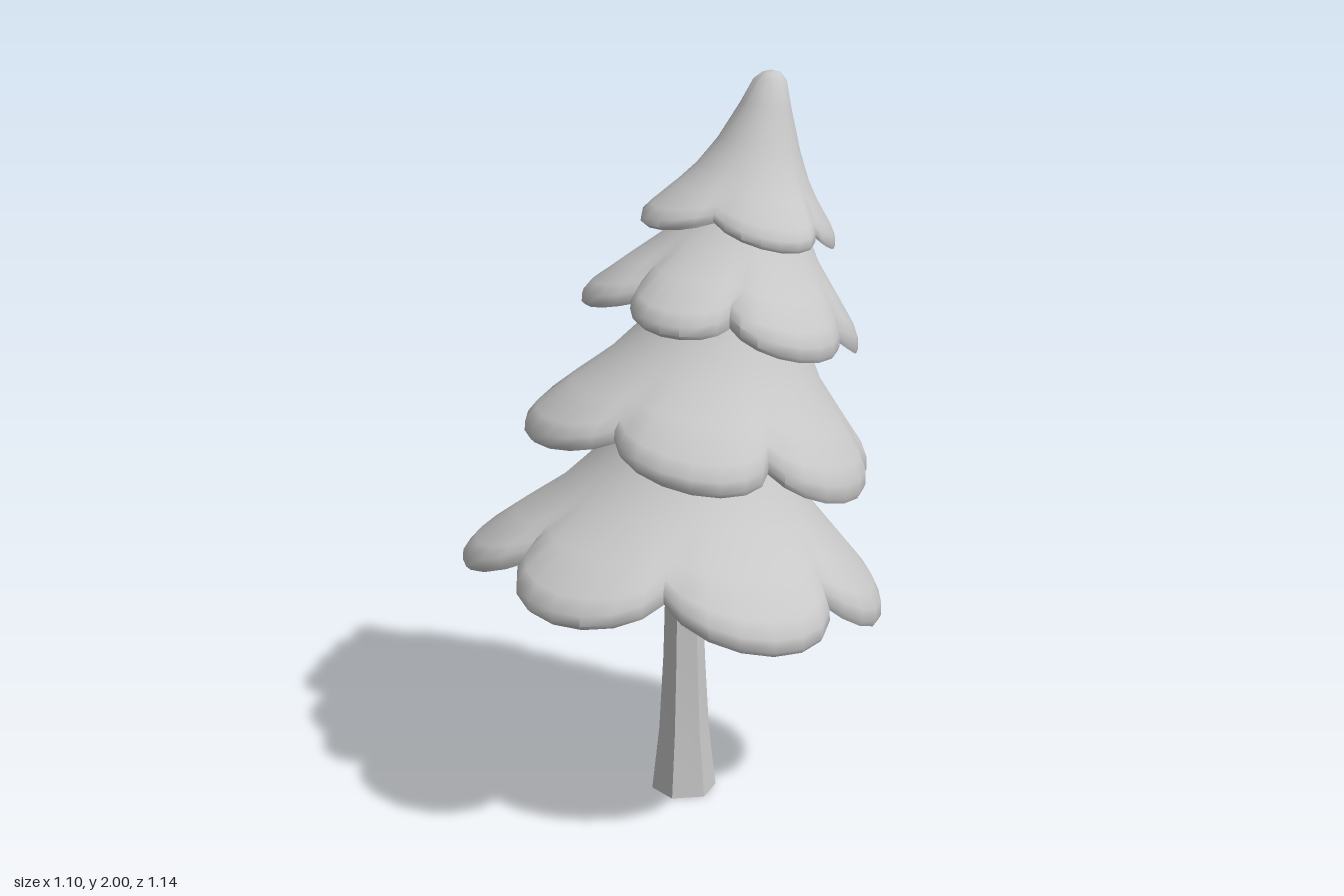
import * as THREE from 'three';
import { toCreasedNormals } from 'three/addons/utils/BufferGeometryUtils.js';

const grey = new THREE.MeshStandardMaterial({ color: 0xc8c8c8 });
grey.name = 'plainGrey';

const LOBE_STEPS = 8;

// Section of a tier from inside the underside, round the blunt rim, to the crown:
// [travel from rim to crown, rise from rim to crown, crown radius factor]
const underside = [[1, 0.27, 0.02], [0.75, 0.24, 1], [0.35, 0.11, 1], [0.1, 0.02, 1], [0.025, 0, 1]];
const skirt = [
  ...underside,
  [0, 0.025, 1], [0.005, 0.085, 1], [0.07, 0.16, 1], [0.28, 0.3, 1], [0.53, 0.46, 1],
  [0.75, 0.66, 1], [0.9, 0.85, 1], [1, 1, 1], [1, 1, 0.02],
];
const peak = [
  ...underside,
  [0, 0.02, 1], [0.01, 0.07, 1], [0.09, 0.13, 1], [0.3, 0.25, 1], [0.48, 0.37, 1],
  [0.66, 0.54, 1], [0.85, 0.78, 1], [0.96, 0.94, 1], [1, 0.985, 0.7], [1, 1, 0.02],
];

// Lobes fan around the rim centre at the given angles (left, front, right, back);
// the rim leans down towards +x by the slope, and notches sit inward and higher
const bottom = {
  name: 'bottomTier', section: skirt, crown: [0.09, 1.15], radius: 0.17,
  centre: [0, 0.615, 0], slope: -0.15, tipReach: 0.568, notchReach: 0.465, notchLift: 0.085,
  angles: [200, 147, 87, 31, -30, -91],
};
const lowerMiddle = {
  name: 'lowerMiddleTier', section: skirt, crown: [0.18, 1.5], radius: 0.13,
  centre: [0.07, 0.975, -0.01], slope: -0.2, tipReach: 0.47, notchReach: 0.4, notchLift: 0.065,
  angles: [180, 116, 58, -1, -67, -120],
};
const upperMiddle = {
  name: 'upperMiddleTier', section: skirt, crown: [0.24, 1.78], radius: 0.08,
  centre: [0.135, 1.325, 0.01], slope: -0.22, tipReach: 0.37, notchReach: 0.305, notchLift: 0.05,
  angles: [196, 140, 82, 13, -46, -103],
};
const top = {
  name: 'topTier', section: peak, crown: [0.28, 2], radius: 0.035,
  centre: [0.18, 1.575, 0], slope: -0.16, tipReach: 0.263, notchReach: 0.215, notchLift: 0.045,
  angles: [176, 89, 25, -28, -110],
};

// Scalloped rim: one half ellipse through each lobe's notches and tip
function rimPoints(place, { tipReach, notchReach, notchLift, angles }) {
  const notches = angles.map((angle, i) => {
    const before = i ? angles[i - 1] : angles.at(-1) + 360;
    const between = THREE.MathUtils.degToRad((angle + before) / 2);
    return place(between, notchReach + 0.03 * Math.cos(between), notchLift);
  });
  return angles.flatMap((angle, i) => {
    const start = notches[i];
    const middle = start.clone().lerp(notches[(i + 1) % notches.length], 0.5);
    const along = start.clone().sub(middle);
    const out = place(THREE.MathUtils.degToRad(angle), tipReach, 0).sub(middle);
    return Array.from({ length: LOBE_STEPS }, (_, k) => {
      const t = (k / LOBE_STEPS) * Math.PI;
      return middle.clone()
        .addScaledVector(along, Math.cos(t))
        .addScaledVector(out, Math.sin(t));
    });
  });
}

// Closed skin through rings of equal point count
function skinRings(rings) {
  const n = rings[0].length;
  const index = [];
  for (let i = 0; i < rings.length - 1; i++) {
    for (let j = 0; j < n; j++) {
      const k = (j + 1) % n;
      const a = i * n + j, b = i * n + k, c = a + n, d = b + n;
      index.push(a, b, d, a, d, c);
    }
  }
  const geometry = new THREE.BufferGeometry().setFromPoints(rings.flat());
  geometry.setIndex(index);
  return geometry;
}

function makeTier(tier) {
  const [crownX, crownY] = tier.crown;
  const [cx, cy, cz] = tier.centre;
  const place = (angle, reach, lift) => {
    const dx = reach * Math.cos(angle);
    return new THREE.Vector3(cx + dx, cy + tier.slope * dx + lift, cz + reach * Math.sin(angle));
  };
  const roundReach = THREE.MathUtils.lerp(tier.notchReach, tier.tipReach, 0.75);
  const rim = rimPoints(place, tier);
  const rings = tier.section.map(([travel, rise, factor]) => rim.map((p) => {
    // Scallops fade into a round skirt away from the rim
    const round = place(Math.atan2(p.z - cz, p.x - cx), roundReach, tier.notchLift * 0.25);
    const base = p.clone().lerp(round, THREE.MathUtils.smoothstep(travel, 0, 0.6));
    const angle = Math.atan2(base.z, base.x - crownX);
    const r = tier.radius * factor;
    return new THREE.Vector3(
      THREE.MathUtils.lerp(base.x, crownX + r * Math.cos(angle), travel),
      THREE.MathUtils.lerp(base.y, crownY, rise),
      THREE.MathUtils.lerp(base.z, r * Math.sin(angle), travel),
    );
  }));
  const mesh = new THREE.Mesh(toCreasedNormals(skinRings(rings), 0.9), grey);
  mesh.name = tier.name;
  return mesh;
}

// Six-sided trunk, flared at the foot
function makeTrunk() {
  const profile = [[0, 0], [0.09, 0], [0.07, 0.18], [0.058, 0.4], [0.052, 0.62], [0.05, 1], [0, 1]];
  const lathe = new THREE.LatheGeometry(profile.map(([r, y]) => new THREE.Vector2(r, y)), 6);
  lathe.rotateY(0.25);
  lathe.translate(0.042, 0, -0.017);
  const mesh = new THREE.Mesh(toCreasedNormals(lathe, 0.6), grey);
  mesh.name = 'trunk';
  return mesh;
}

export function createModel() {
  const tree = new THREE.Group();
  tree.name = 'pineTree';
  tree.add(makeTrunk(), ...[bottom, lowerMiddle, upperMiddle, top].map(makeTier));
  return tree;
}
